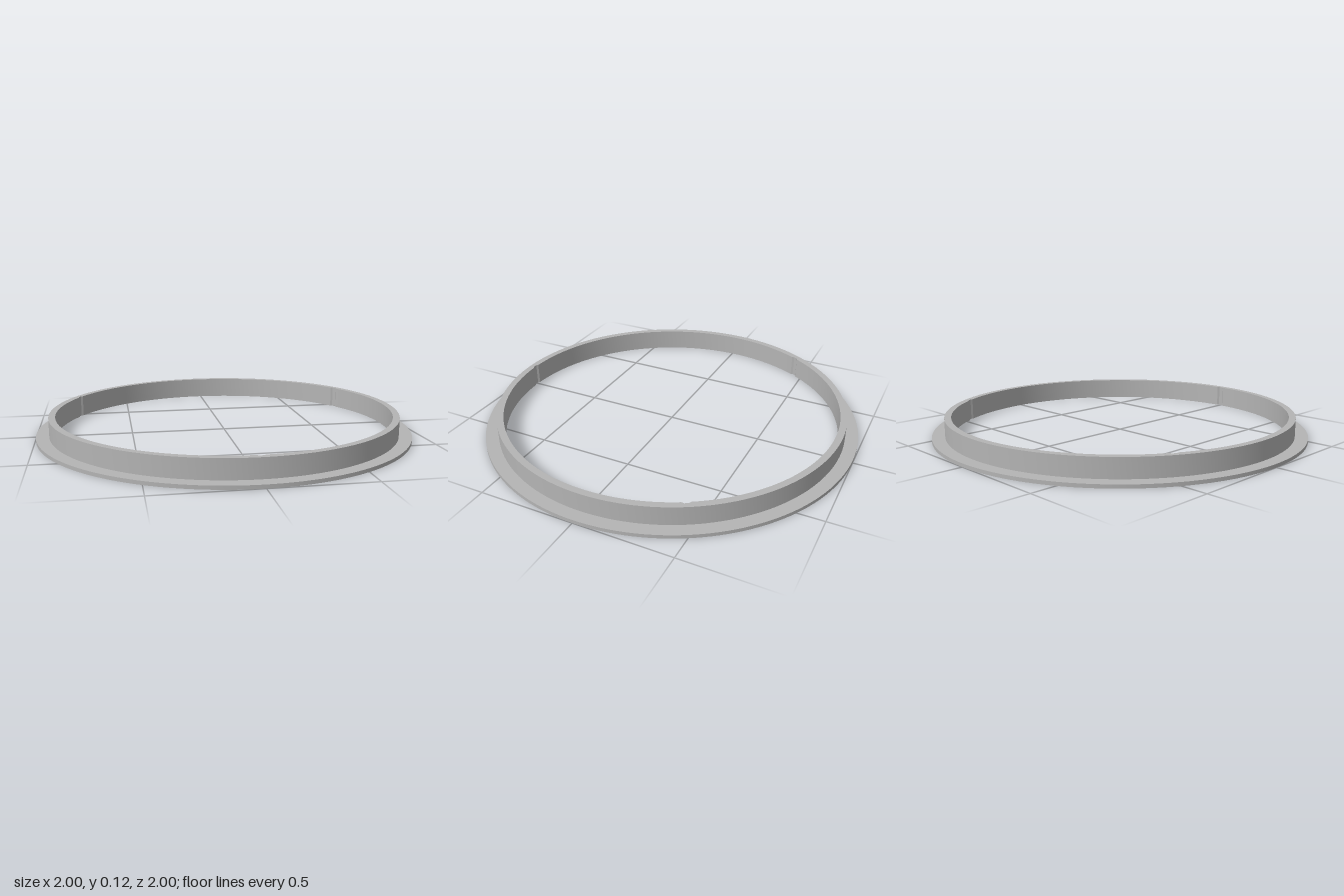
import * as THREE from 'three';
import { toCreasedNormals } from 'three/addons/utils/BufferGeometryUtils.js';

const INNER = 0.898, WALL = 0.933, FLANGE = 1;
const FLANGE_TOP = 0.018, HEIGHT = 0.115;
const SEGMENTS = 180;

function circlePoints(radius) {
  return Array.from({ length: SEGMENTS }, (_, i) => {
    const a = (i / SEGMENTS) * Math.PI * 2;
    return new THREE.Vector2(Math.cos(a) * radius, Math.sin(a) * radius);
  });
}

// Bore outline with three shallow grooves, one at the front and two at the back
function borePoints() {
  const grooves = [30, 150, 270];
  const profile = [[-1.3, 0], [-0.7, 0.008], [0.7, 0.008], [1.3, 0]];
  const polar = [];
  for (let i = 0; i < SEGMENTS; i++) {
    const deg = (i * 360) / SEGMENTS;
    if (!grooves.some((g) => Math.abs(deg - g) < 1.5)) polar.push([deg, INNER]);
  }
  for (const g of grooves) {
    for (const [offset, depth] of profile) polar.push([g + offset, INNER + depth]);
  }
  polar.sort((a, b) => a[0] - b[0]);
  return polar.map(([deg, r]) => {
    const a = THREE.MathUtils.degToRad(deg);
    return new THREE.Vector2(Math.cos(a) * r, Math.sin(a) * r);
  });
}

// Flat ring extruded upwards from the given base height
function ring(name, outer, base, top, material) {
  const shape = new THREE.Shape(circlePoints(outer));
  shape.holes.push(new THREE.Path(borePoints()));
  const extruded = new THREE.ExtrudeGeometry(shape, { depth: top - base, bevelEnabled: false });
  extruded.rotateX(-Math.PI / 2).translate(0, base, 0);
  const mesh = new THREE.Mesh(toCreasedNormals(extruded, Math.PI / 9), material);
  mesh.name = name;
  return mesh;
}

export function createModel() {
  const grey = new THREE.MeshStandardMaterial({ color: 0xb4b4b4 });
  grey.name = 'light grey';

  const group = new THREE.Group();
  group.name = 'flangedRing';
  group.add(
    ring('flange', FLANGE, 0, FLANGE_TOP, grey),
    ring('collar', WALL, FLANGE_TOP, HEIGHT, grey),
  );
  return group;
}
